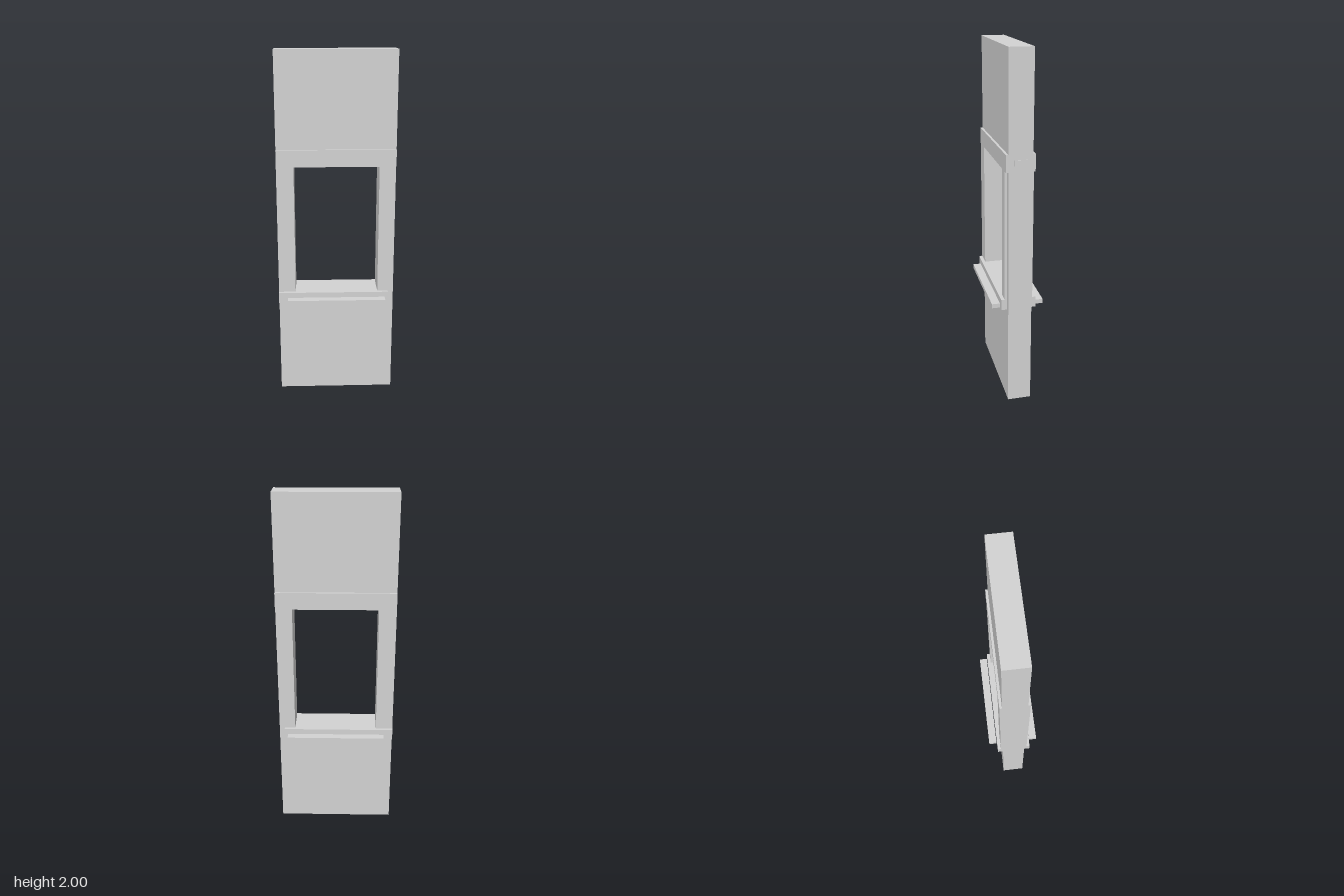
import * as THREE from 'three';

export function createModel() {
  const group = new THREE.Group();
  const grey = new THREE.MeshStandardMaterial({ color: 0xd3d3d3 });
  grey.name = 'lightGrey';

  // Box given by its minimum and maximum on each axis
  function box(name, x0, x1, y0, y1, z0, z1) {
    const mesh = new THREE.Mesh(new THREE.BoxGeometry(x1 - x0, y1 - y0, z1 - z0), grey);
    mesh.position.set((x0 + x1) / 2, (y0 + y1) / 2, (z0 + z1) / 2);
    mesh.name = name;
    group.add(mesh);
  }

  const points = (list) => list.map(([x, y]) => new THREE.Vector2(x, y));

  // Flat shape extruded between two depths
  function slab(name, shape, z0, z1) {
    const geometry = new THREE.ExtrudeGeometry(shape, { depth: z1 - z0, bevelEnabled: false });
    geometry.translate(0, 0, z0);
    const mesh = new THREE.Mesh(geometry, grey);
    mesh.name = name;
    group.add(mesh);
  }

  const left = -0.335, right = 0.331, trimEnd = 0.299;
  const holeX = 0.238, holeBottom = 0.632, holeTop = 1.37, headerTop = 1.465;
  const back = -0.067, front = 0.065;

  // Wall section with the window opening
  const outline = new THREE.Shape(points([[left, 0], [right, 0], [right, 2], [left, 2]]));
  outline.holes.push(new THREE.Path(points([
    [-holeX, holeBottom], [-holeX, holeTop], [holeX, holeTop], [holeX, holeBottom],
  ])));
  slab('wall', outline, back, front);

  // Header and both side casings in one piece
  const casing = new THREE.Shape(points([
    [left, holeBottom], [-holeX, holeBottom], [-holeX, holeTop], [holeX, holeTop],
    [holeX, holeBottom], [trimEnd, holeBottom], [trimEnd, holeTop], [right, holeTop],
    [right, headerTop], [left, headerTop],
  ]));
  slab('frontCasing', casing, front, 0.078);
  slab('backCasing', casing, -0.08, back);

  // Sills and projecting ledges
  box('frontSill', left, trimEnd, 0.57, holeBottom, front, 0.097);
  box('backSill', left, trimEnd, 0.57, holeBottom, -0.099, back);
  box('frontLedge', -0.282, 0.279, 0.577, 0.602, 0.1, 0.146);
  box('backLedge', -0.282, 0.279, 0.577, 0.602, -0.147, -0.102);

  // Small plate on the wall's left end
  box('endPlate', right, 0.334, 1.403, 1.435, -0.035, 0.032);

  // Row of tiny studs on the back header
  for (let i = 0; i < 6; i++) {
    const x = -0.02 - i * 0.034;
    box('headerStud', x - 0.003, x + 0.003, 1.423, 1.428, -0.0805, -0.08);
  }
  return group;
}
